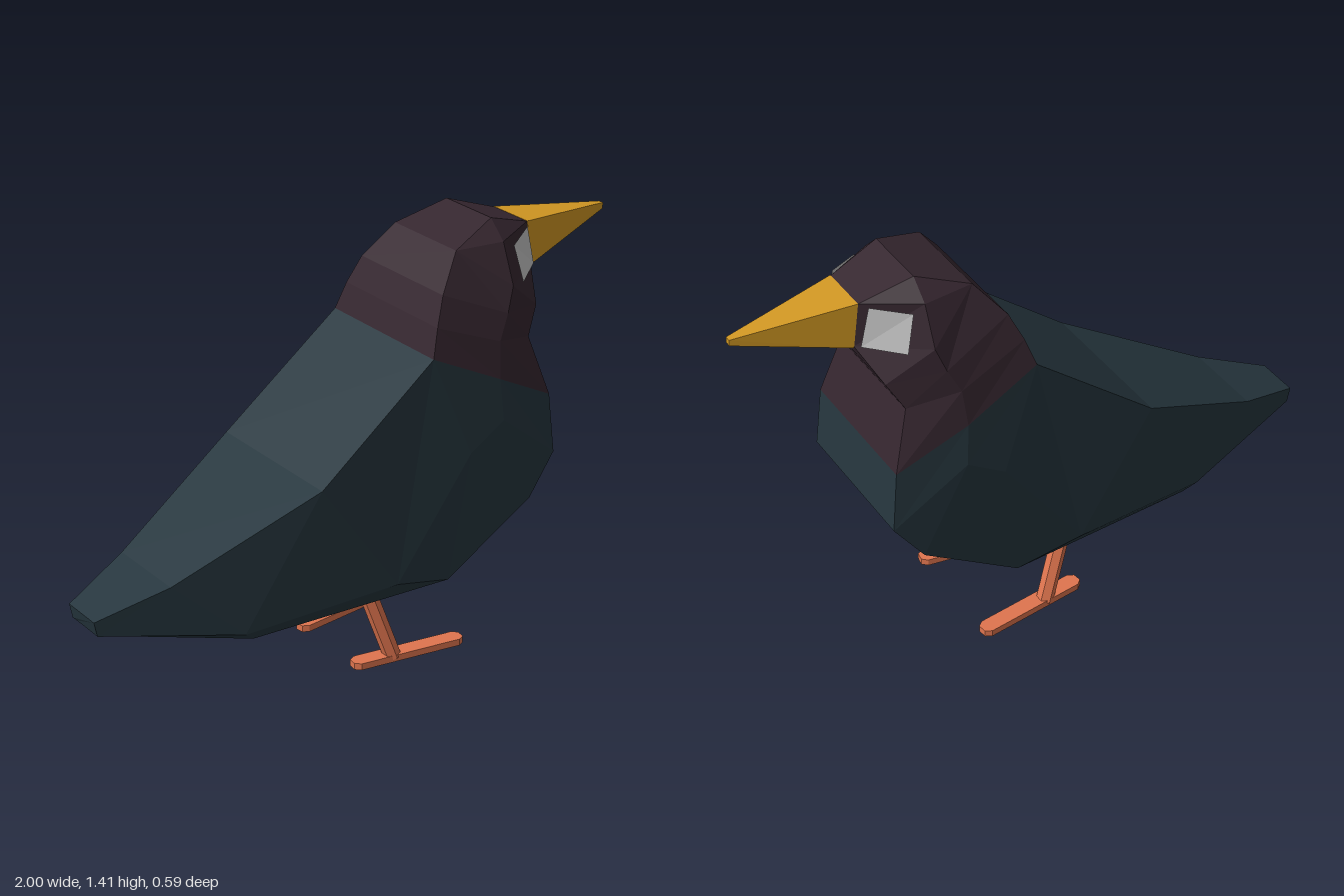
import * as THREE from 'three';

const mat = (name, color) => {
  const m = new THREE.MeshStandardMaterial({ color, flatShading: true });
  m.name = name;
  return m;
};

const mesh = (name, geometry, material) => {
  const m = new THREE.Mesh(geometry, material);
  m.name = name;
  return m;
};

// Skin a row of half-rings ([x, y, z] from back to belly), mirrored across z = 0
function loft(halfRings, capStart, capEnd) {
  const rings = halfRings.map(h => [...h, ...h.map(([x, y, z]) => [x, y, -z]).reverse()]);
  const n = rings[0].length;
  const pos = [];
  const tri = (...pts) => pts.forEach(p => pos.push(...p));
  for (let i = 0; i < rings.length - 1; i++) {
    for (let k = 0; k < n; k++) {
      const a = rings[i][k], b = rings[i][(k + 1) % n];
      const c = rings[i + 1][k], d = rings[i + 1][(k + 1) % n];
      if (k < n / 2) { tri(a, b, c); tri(b, d, c); }
      else { tri(a, b, d); tri(a, d, c); }
    }
  }
  const first = rings[0], last = rings[rings.length - 1];
  for (let k = 1; k < n - 1; k++) {
    if (capStart) tri(first[0], first[k + 1], first[k]);
    if (capEnd) tri(last[0], last[k], last[k + 1]);
  }
  const g = new THREE.BufferGeometry();
  g.setAttribute('position', new THREE.Float32BufferAttribute(pos, 3));
  g.computeVertexNormals();
  return g;
}

export function createModel() {
  const bird = new THREE.Group();
  bird.name = 'bird';
  const slate = mat('slate feathers', 0x26363e);
  const plum = mat('plum feathers', 0x35262f);
  const gold = mat('golden beak', 0xd29823);
  const coral = mat('coral legs', 0xe0754f);
  const grey = mat('pale eye', 0xc4c4c4);
  grey.side = THREE.DoubleSide;

  // Each ring: back edge, side ridge, belly edge
  const neck = [[0.12, 1.06, 0.265], [0.37, 0.94, 0.283], [0.60, 0.82, 0.247]];
  const body = [
    [[-1, 0.41, 0.075], [-0.99, 0.36, 0.075], [-0.985, 0.355, 0.06]],
    [[-0.77, 0.49, 0.145], [-0.54, 0.28, 0.2], [-0.5, 0.245, 0.18]],
    [[-0.3, 0.73, 0.27], [-0.03, 0.34, 0.293], [0.19, 0.28, 0.265]],
    [[0.12, 1.06, 0.265], [0.25, 0.72, 0.295], [0.52, 0.48, 0.262]],
    [[0.12, 1.06, 0.265], [0.38, 0.8, 0.293], [0.62, 0.615, 0.255]],
    neck,
  ];
  bird.add(mesh('body and tail', loft(body, true, false), slate));

  const head = [
    neck,
    [[0.15, 1.15, 0.243], [0.38, 1.06, 0.265], [0.54, 1.02, 0.207]],
    [[0.19, 1.24, 0.215], [0.42, 1.14, 0.25], [0.59, 1.11, 0.18]],
    [[0.28, 1.35, 0.16], [0.45, 1.22, 0.235], [0.64, 1.21, 0.085]],
    [[0.28, 1.35, 0.16], [0.45, 1.35, 0.18], [0.62, 1.355, 0.085]],
    [[0.45, 1.41, 0.115], [0.45, 1.41, 0.115], [0.62, 1.355, 0.085]],
  ];
  bird.add(mesh('head', loft(head, false, true), plum));

  // Four-sided pyramid beak with a tiny blunt tip
  const beak = [
    [[0.62, 1.356, 0.087], [0.64, 1.205, 0.087]],
    [[1, 1.32, 0.01], [1, 1.3, 0.01]],
  ];
  bird.add(mesh('beak', loft(beak, true, true), gold));

  // Foot outline: long bar with clipped ends
  const sole = new THREE.Shape([
    [-0.2, -0.015], [-0.18, -0.029], [0.18, -0.029], [0.2, -0.015],
    [0.2, 0.015], [0.18, 0.029], [-0.18, 0.029], [-0.2, 0.015],
  ].map(p => new THREE.Vector2(...p)));
  const footGeo = new THREE.ExtrudeGeometry(sole, { depth: 0.023, bevelEnabled: false });
  footGeo.rotateX(-Math.PI / 2);

  for (const s of [1, -1]) {
    const side = s > 0 ? 'Left' : 'Right';

    // Slanted eye plate on the cheek
    const corners = [[0.49, 1.33, 0.183], [0.52, 1.205, 0.199], [0.63, 1.22, 0.112], [0.60, 1.35, 0.113]];
    const eye = new THREE.BufferGeometry();
    eye.setAttribute('position', new THREE.Float32BufferAttribute(
      corners.flatMap(([x, y, z]) => [x, y, z * s]), 3));
    eye.setIndex(s > 0 ? [0, 1, 2, 0, 2, 3] : [0, 2, 1, 0, 3, 2]);
    eye.computeVertexNormals();
    bird.add(mesh('eye' + side, eye, grey));

    // Raked six-sided leg
    const top = new THREE.Vector3(-0.081, 0.36, 0.14 * s);
    const foot = new THREE.Vector3(0.035, 0.01, 0.178 * s);
    const dir = top.clone().sub(foot);
    const leg = mesh('leg' + side, new THREE.CylinderGeometry(0.029, 0.029, dir.length(), 6), coral);
    leg.position.copy(top).add(foot).multiplyScalar(0.5);
    leg.quaternion.setFromUnitVectors(new THREE.Vector3(0, 1, 0), dir.normalize());
    bird.add(leg);

    // Foot splayed outward at the front
    const bar = mesh('foot' + side, footGeo, coral);
    bar.position.set(0.092, 0, 0.18 * s);
    bar.rotation.y = -0.14 * s;
    bird.add(bar);
  }
  return bird;
}
